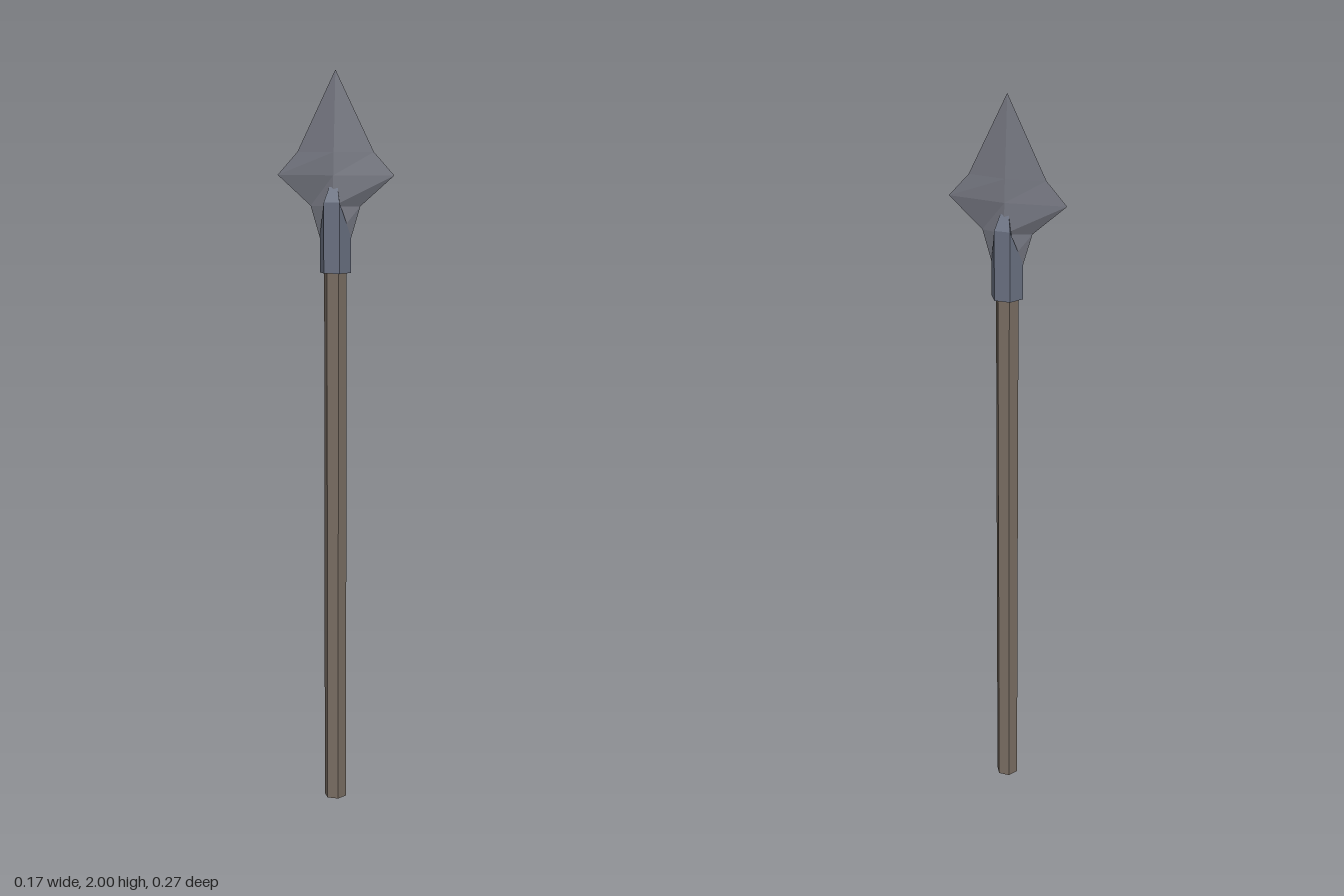
import * as THREE from 'three';

// Skin a stack of equal-length rings (counter-clockwise from above) with flat faces.
function loft(rings) {
  const pos = [];
  const n = rings[0].length;
  for (let r = 0; r < rings.length - 1; r++) {
    for (let i = 0; i < n; i++) {
      const j = (i + 1) % n;
      const a = rings[r][i], b = rings[r][j], c = rings[r + 1][j], d = rings[r + 1][i];
      pos.push(...a, ...b, ...c, ...a, ...c, ...d);
    }
  }
  const geo = new THREE.BufferGeometry();
  geo.setAttribute('position', new THREE.Float32BufferAttribute(pos, 3));
  geo.computeVertexNormals();
  return geo;
}

// Diamond cross-section: half width along x, half thickness along z
const diamond = ([y, w, t]) => [[w, y, 0], [0, y, -t], [-w, y, 0], [0, y, t]];

// Hexagon with corners on the x axis; those two corners can sit at their own height and radius
function hexagon(r, y, edgeR = r, edgeY = y) {
  return Array.from({ length: 6 }, (_, i) => {
    const a = (i * Math.PI) / 3;
    const onEdge = i % 3 === 0;
    const rad = onEdge ? edgeR : r;
    return [rad * Math.cos(a), onEdge ? edgeY : y, -rad * Math.sin(a)];
  });
}

export function createModel() {
  const material = (name, color) => {
    const m = new THREE.MeshStandardMaterial({ color, flatShading: true });
    m.name = name;
    return m;
  };
  const wood = material('wood', 0x7a6e63);
  const steel = material('blade steel', 0x747680);
  const iron = material('socket iron', 0x6a7182);

  const model = new THREE.Group();
  model.name = 'spear';
  const add = (name, geo, mat) => {
    const mesh = new THREE.Mesh(geo, mat);
    mesh.name = name;
    model.add(mesh);
    return mesh;
  };

  // Six-sided shaft
  const shaft = add('shaft', new THREE.CylinderGeometry(0.031, 0.031, 1.5, 6, 1, false, Math.PI / 2), wood);
  shaft.position.y = 0.75;

  // Socket: notched where the blade edges leave it, with prongs tapering onto both blade faces
  add('socket', loft([
    hexagon(0, 1.475),
    hexagon(0.043, 1.475),
    hexagon(0.043, 1.66, 0.043, 1.57),
    hexagon(0.023, 1.7, 0.02, 1.6),
    hexagon(0, 1.68),
  ]), iron);

  // Diamond-section blade: height, half width, half thickness
  add('blade', loft([
    [1.56, 0, 0],
    [1.56, 0.041, 0.026],
    [1.65, 0.068, 0.024],
    [1.73, 0.159, 0.021],
    [1.79, 0.104, 0.017],
    [2.0, 0, 0],
  ].map(diamond)), steel);

  // Turn the blade diagonally
  model.rotation.y = -1.02;
  const root = new THREE.Group();
  root.add(model);
  return root;
}
